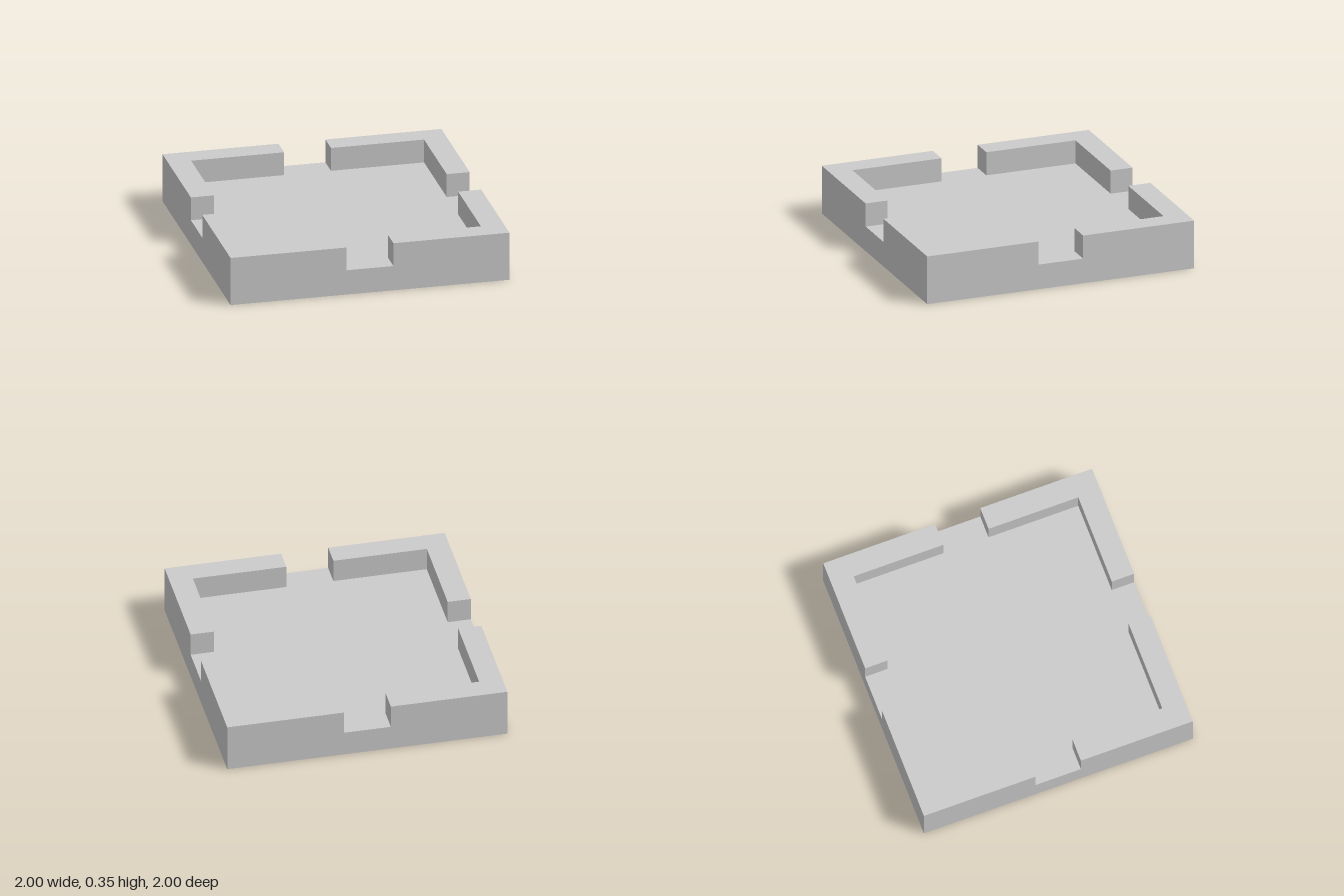
import * as THREE from 'three';

const HALF = 1;        // half the side of the square tray
const INNER = 0.835;   // inner face of the rim
const GAP = 0.168;     // half width of each notch
const FLOOR = 0.182;   // height of the floor
const TOP = 0.353;     // height of the rim

export function createModel() {
  const model = new THREE.Group();
  model.name = 'notchedTray';
  const material = new THREE.MeshStandardMaterial({ color: 0xcccccc, flatShading: true });

  // Solid square base
  const base = new THREE.Mesh(new THREE.BoxGeometry(2 * HALF, FLOOR, 2 * HALF), material);
  base.name = 'base';
  base.position.y = FLOOR / 2;
  model.add(base);

  // L-shaped corner wall, extruded upwards from the floor
  const outline = new THREE.Shape([
    [GAP, HALF], [GAP, INNER], [INNER, INNER], [INNER, GAP], [HALF, GAP], [HALF, HALF],
  ].map(([x, y]) => new THREE.Vector2(x, y)));
  const wall = new THREE.ExtrudeGeometry(outline, { depth: TOP - FLOOR, bevelEnabled: false });
  wall.rotateX(-Math.PI / 2);

  // One wall per corner, leaving a notch in the middle of every side
  const names = ['backLeftWall', 'backRightWall', 'frontRightWall', 'frontLeftWall'];
  names.forEach((name, i) => {
    const corner = new THREE.Mesh(wall, material);
    corner.name = name;
    corner.position.y = FLOOR;
    corner.rotation.y = i * Math.PI / 2;
    model.add(corner);
  });

  return model;
}
